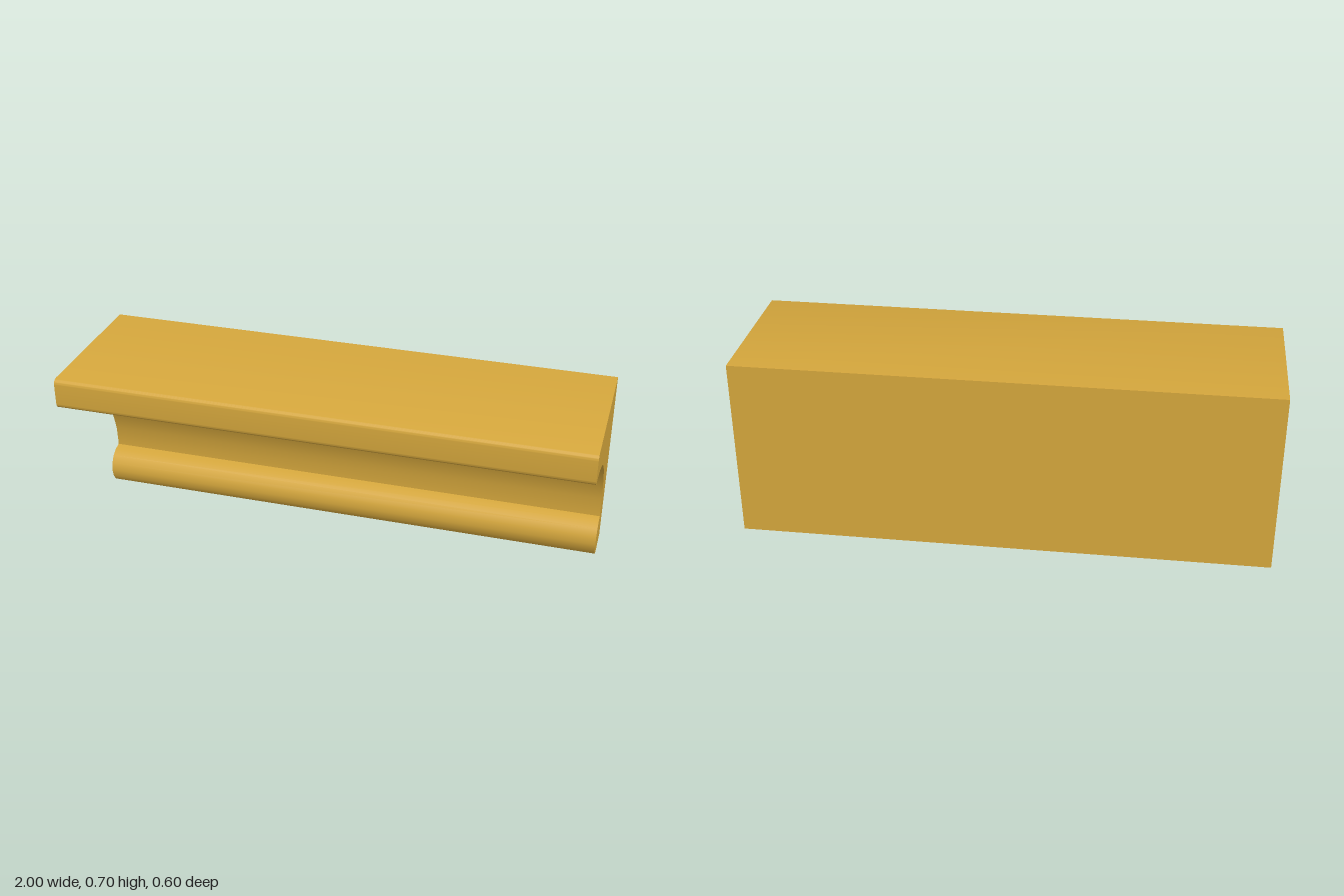
import * as THREE from 'three';
import { toCreasedNormals } from 'three/addons/utils/BufferGeometryUtils.js';

export function createModel() {
  const group = new THREE.Group();
  group.name = 'crownMoulding';
  const ochre = new THREE.MeshStandardMaterial({ color: 0xd4a63c });
  ochre.name = 'ochre';

  // Cross-section, drawn as (depth, height)
  const profile = new THREE.Shape();
  profile.moveTo(-0.3, 0);
  profile.lineTo(-0.18, 0);
  // Rounded bead along the foot
  profile.absarc(-0.18, 0.08, 0.08, -Math.PI / 2, Math.PI / 2, false);
  // Concave cove sweeping up to the lip
  const cove = [
    [-0.18, 0.18], [-0.175, 0.243], [-0.157, 0.305], [-0.127, 0.363], [-0.09, 0.416], [-0.04, 0.463],
    [0.018, 0.505], [0.082, 0.537], [0.152, 0.561], [0.226, 0.576], [0.28, 0.58],
  ];
  cove.forEach(([z, y]) => profile.lineTo(z, y));
  // Top lip with rounded edges
  profile.absarc(0.28, 0.6, 0.02, -Math.PI / 2, 0, false);
  profile.absarc(0.28, 0.68, 0.02, 0, Math.PI / 2, false);
  profile.lineTo(-0.3, 0.7);
  profile.closePath();

  // Run the section along x, smooth on curves and sharp at corners
  const geometry = new THREE.ExtrudeGeometry(profile, { depth: 2, bevelEnabled: false, curveSegments: 4 });
  geometry.translate(0, 0, -1);
  geometry.rotateY(-Math.PI / 2);
  const moulding = new THREE.Mesh(toCreasedNormals(geometry, 0.6), ochre);
  moulding.name = 'moulding';
  group.add(moulding);
  return group;
}
